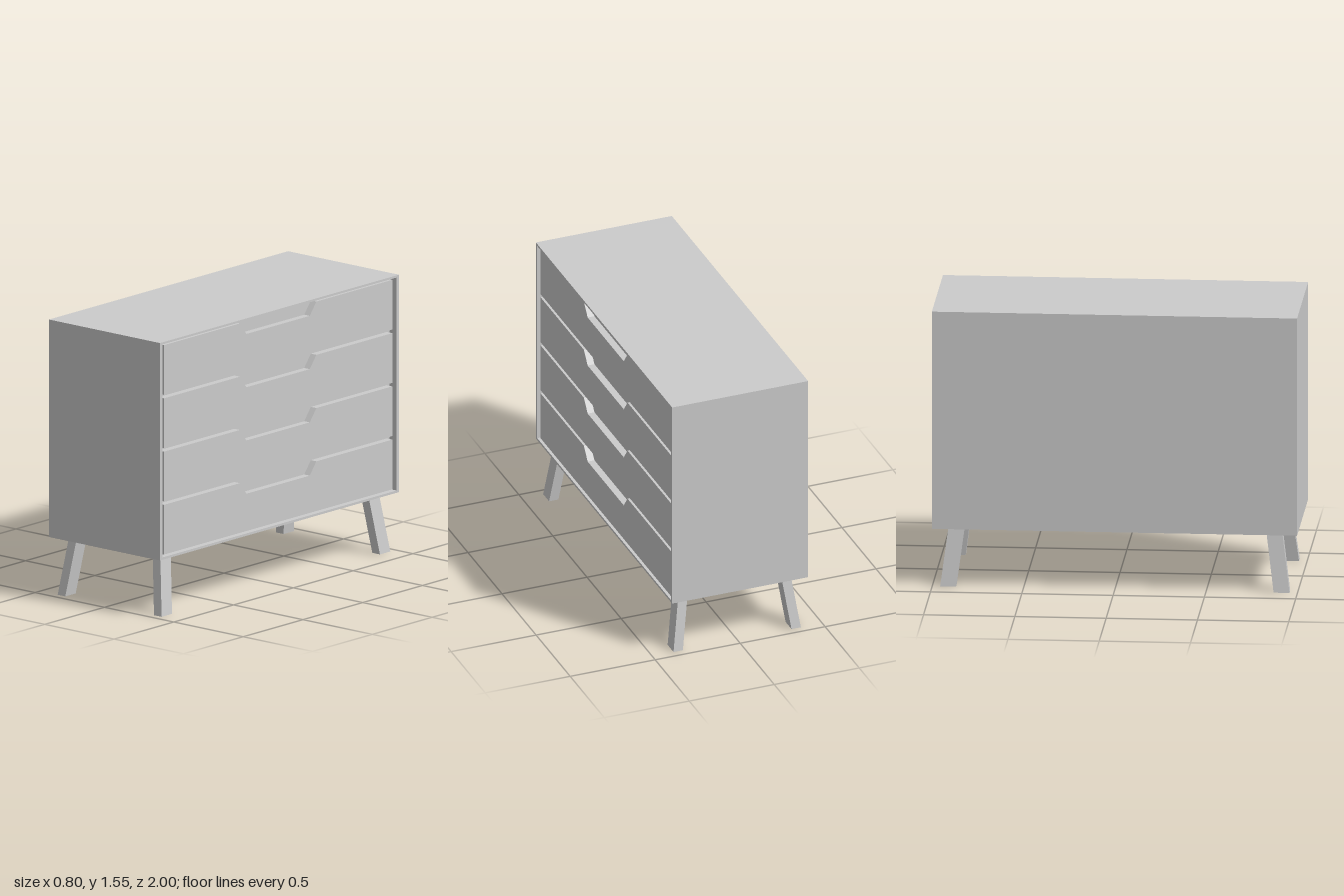
import * as THREE from 'three';

export function createModel() {
  const group = new THREE.Group();
  const material = new THREE.MeshStandardMaterial({ color: 0xcccccc, flatShading: true });
  const add = (name, geometry) => {
    const mesh = new THREE.Mesh(geometry, material);
    mesh.name = name;
    group.add(mesh);
    return mesh;
  };
  const shapeOf = (pts) => new THREE.Shape(pts.map(([z, y]) => new THREE.Vector2(z, y)));
  const rect = (w, y0, y1) => [[-w, y0], [w, y0], [w, y1], [-w, y1]];
  // Extrude a (z, y) outline along x, from x0 to x1
  const extrudeX = (shape, x0, x1) =>
    new THREE.ExtrudeGeometry(shape, { depth: x1 - x0, bevelEnabled: false })
      .rotateY(Math.PI / 2).translate(x0, 0, 0);

  const bottom = 0.33, top = 1.555, faceX = 0.4, cavityX = 0.35;

  // Cabinet: solid carcass with a thin rim around the drawer opening
  add('carcass', extrudeX(shapeOf(rect(1, bottom, top)), -0.4, cavityX));
  const rim = shapeOf(rect(1, bottom, top));
  rim.holes.push(shapeOf(rect(0.98, 0.343, 1.543).reverse()));
  add('openingRim', extrudeX(rim, cavityX, faceX));

  // Four drawer fronts, each with a trapezoid finger cut-out in its top edge
  for (let i = 0; i < 4; i++) {
    const y0 = 0.353 + i * 0.3, y1 = y0 + 0.28, notchY = y1 - 0.07;
    const front = shapeOf([
      [-0.955, y0], [0.955, y0], [0.955, y1],
      [0.32, y1], [0.265, notchY], [-0.265, notchY], [-0.32, y1], [-0.955, y1],
    ]);
    add('drawerFront' + (i + 1), extrudeX(front, cavityX, faceX - 0.01));
  }

  // Splayed legs: boxes sheared outward towards flat feet
  for (const sx of [1, -1]) {
    for (const sz of [1, -1]) {
      const leg = new THREE.BoxGeometry(0.055, bottom, 0.087).translate(0, bottom / 2, 0);
      const p = leg.attributes.position;
      for (let i = 0; i < p.count; i++) {
        const t = p.getY(i) / bottom;
        p.setX(i, p.getX(i) + sx * (0.347 - 0.046 * t));
        p.setZ(i, p.getZ(i) + sz * (0.913 - 0.043 * t));
      }
      leg.computeVertexNormals();
      add((sx > 0 ? 'drawerSide' : 'backSide') + (sz > 0 ? 'Front' : 'Rear') + 'Leg', leg);
    }
  }
  return group;
}
